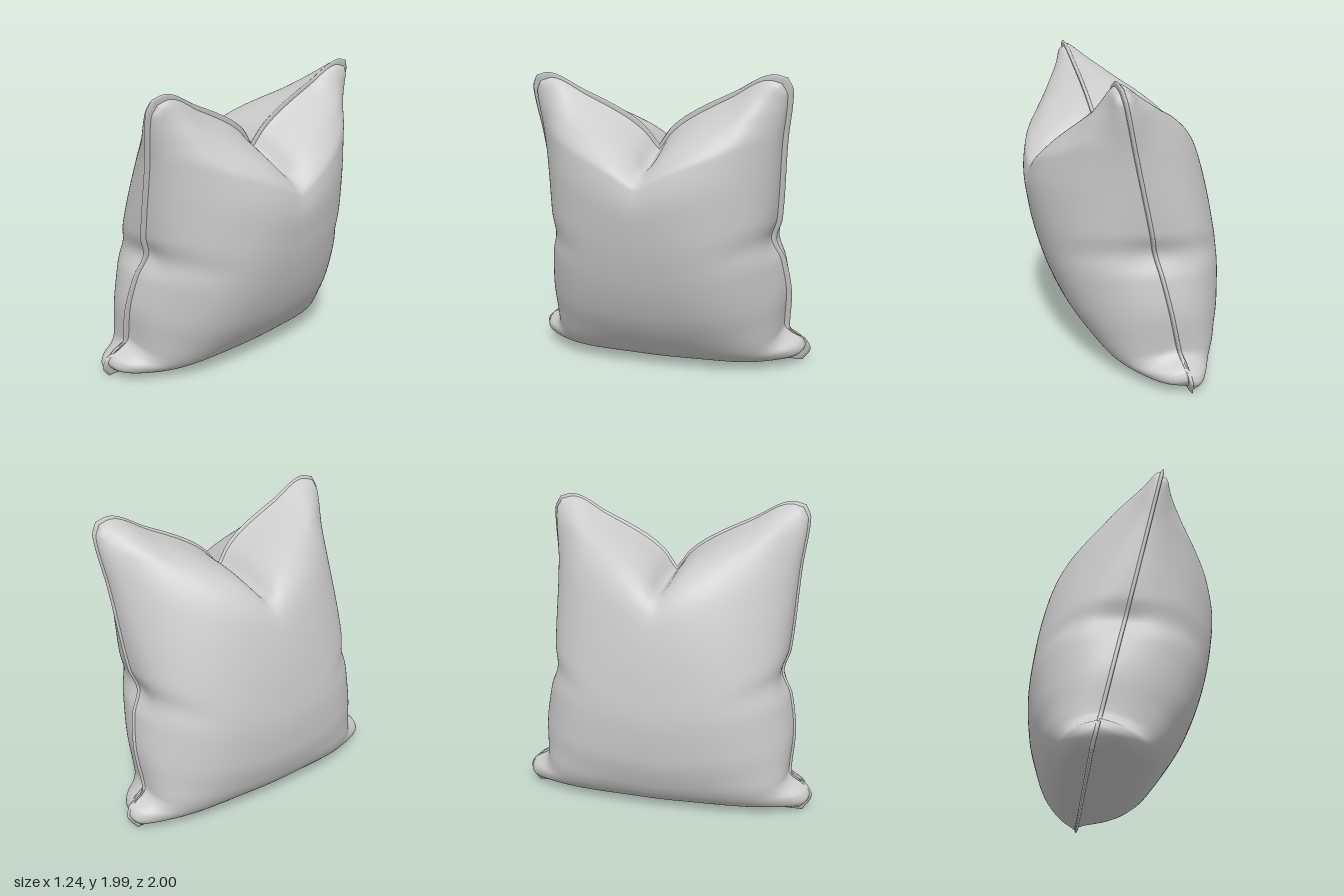
import * as THREE from 'three';

const N = 120;

// Smooth 1D lookup through [t, value] knots (cubic Hermite, limited slopes)
function lookup(knots, t) {
  const n = knots.length;
  let i = 0;
  while (i < n - 2 && t > knots[i + 1][0]) i++;
  const sec = k => (knots[k + 1][1] - knots[k][1]) / (knots[k + 1][0] - knots[k][0]);
  const slope = k => {
    if (k === 0) return sec(0);
    if (k === n - 1) return sec(n - 2);
    const a = sec(k - 1), b = sec(k);
    return a * b <= 0 ? 0 : 2 * a * b / (a + b);
  };
  const h = knots[i + 1][0] - knots[i][0], s = (t - knots[i][0]) / h;
  const s2 = s * s, s3 = s2 * s;
  return knots[i][1] * (2 * s3 - 3 * s2 + 1) + knots[i + 1][1] * (3 * s2 - 2 * s3)
    + h * (slope(i) * (s3 - 2 * s2 + s) + slope(i + 1) * (s3 - s2));
}

// Seam outline: half width by height, and top height with its middle notch
const SIDE = [[0, 0.94], [0.05, 1.0], [0.075, 0.98], [0.1, 0.89], [0.125, 0.855], [0.25, 0.87], [0.38, 0.835],
  [0.46, 0.77], [0.53, 0.81], [0.8, 0.85], [0.96, 0.885], [1, 0.85]];
const TOP = [[0, 1.53], [0.04, 1.575], [0.1, 1.64], [0.25, 1.735], [0.6, 1.88], [0.9, 1.99], [1, 1.97]];

// The two halves: middle profile as [v, x] and [v, y]; p and q are the
// roundness across the width at the bottom, middle and top
const HALVES = {
  rightHalf: {
    s: -1, inset: 0.015,
    p: [[0, 8], [0.06, 7], [0.2, 4], [0.5, 3], [0.75, 2.2], [0.92, 1.75], [1, 1.75]],
    q: [[0, 0.45], [0.15, 0.5], [0.5, 0.6], [0.92, 0.87], [1, 0.87]],
    x: [[0, -0.24], [0.03, -0.36], [0.08, -0.46], [0.15, -0.54], [0.27, -0.6], [0.42, -0.62], [0.57, -0.6],
      [0.72, -0.55], [0.82, -0.49], [0.9, -0.37], [0.96, -0.1], [1, 0.13]],
    y: [[0, 0.03], [0.03, 0.03], [0.08, 0.08], [0.15, 0.2], [0.27, 0.4], [0.42, 0.65], [0.57, 0.9],
      [0.72, 1.2], [0.82, 1.38], [0.9, 1.48], [0.96, 1.52], [1, 1.515]]
  },
  leftHalf: {
    s: 1, inset: 0.035,
    p: [[0, 8], [0.06, 7], [0.2, 4], [0.5, 2.6], [0.75, 1.9], [0.92, 1.7], [1, 1.7]],
    q: [[0, 0.45], [0.15, 0.5], [0.5, 0.65], [0.92, 0.78], [1, 0.78]],
    x: [[0, -0.24], [0.03, 0], [0.08, 0.14], [0.15, 0.26], [0.27, 0.41], [0.42, 0.52], [0.57, 0.585],
      [0.7, 0.615], [0.8, 0.6], [0.88, 0.48], [0.95, 0.29], [1, 0.13]],
    y: [[0, 0.04], [0.03, 0.03], [0.08, 0.07], [0.15, 0.18], [0.27, 0.4], [0.42, 0.68], [0.57, 0.95],
      [0.7, 1.17], [0.8, 1.29], [0.88, 1.39], [0.95, 1.46], [1, 1.5]]
  }
};

const seamX = y => -0.25 + 0.226 * y;
const bump = (t, c, w) => Math.exp(-(((t - c) / w) ** 2));

// Point of the tilted seam sheet; u runs across (z), v runs up, inset shrinks it
function seamPoint(u, v, inset) {
  const a = Math.abs(u), base = 0.85;
  // pinches and bottom ears stay near the sides
  const z = u * (base + (lookup(SIDE, v) - base) * a ** 12 - inset) - 0.015 * v;
  // the notch softens away from the top edge
  const soft = Math.min(1, Math.sqrt(a * a + 0.03 * (1 - v) * (1 - a)));
  const low = 0.005 + inset;
  const y = low + v * (lookup(TOP, soft) - inset - low);
  // the seam leans a little further over at the notch
  return new THREE.Vector3(seamX(y) + 0.04 * v ** 8 * (1 - a) ** 2, y, z);
}

// One puffed half of the cushion
function puffedHalf({ s, inset, p, q, x, y }) {
  const pos = [], index = [];
  const ease = i => Math.sin((i / N - 0.5) * Math.PI);
  for (let j = 0; j <= N; j++) {
    const v = (ease(j) + 1) / 2;
    const mid = seamPoint(0, v, inset);
    const dx = lookup(x, v) - mid.x, dy = lookup(y, v) - mid.y;
    const pv = lookup(p, v), qv = lookup(q, v);
    for (let i = 0; i <= N; i++) {
      const u = ease(i), a = Math.abs(u);
      const pt = seamPoint(u, v, inset);
      // fullness falls off to the sides, with a dent at each side pinch
      let w = Math.max(0, 1 - a ** pv) ** qv;
      w *= 1 - 0.22 * bump(v, 0.46, 0.04) * a ** 6;
      // rolled rim along the seam
      const e = Math.max(a, Math.abs(2 * v - 1));
      const rim = 0.055 * Math.sqrt(Math.max(0, 1 - e ** 50));
      // crease running out of the notch
      const crease = 0.035 * bump(u, 0, 0.08) * bump(v, 0.93, 0.045);
      pos.push(pt.x + dx * w + s * rim * (1 - w), pt.y + dy * w - crease, pt.z);
    }
  }
  for (let j = 0; j < N; j++) for (let i = 0; i < N; i++) {
    const a = j * (N + 1) + i, b = a + 1, c = a + N + 1, d = c + 1;
    if (s > 0) index.push(a, c, b, b, c, d);
    else index.push(a, b, c, b, d, c);
  }
  return buildGeometry(pos, index);
}

// Thin tapered welt that closes the seam all the way round
function weltGeometry() {
  const pos = [], index = [], M = 80, ring = 4 * M;
  const section = [[0.07, -0.013], [0.015, -0.012], [0, 0], [0.015, 0.012], [0.07, 0.013]];
  for (let k = 0; k < ring; k++) {
    const side = Math.floor(k / M), t = -1 + 2 * (k % M) / M;
    const [u, w] = [[t, -1], [1, t], [-t, 1], [-1, -t]][side];
    for (const [inset, off] of section) {
      const pt = seamPoint(u, (w + 1) / 2, inset);
      pos.push(pt.x + off, pt.y, pt.z);
    }
  }
  const m = section.length;
  for (let k = 0; k < ring; k++) for (let i = 0; i < m - 1; i++) {
    const a = k * m + i, c = ((k + 1) % ring) * m + i;
    index.push(a, a + 1, c, a + 1, c + 1, c);
  }
  return buildGeometry(pos, index);
}

function buildGeometry(pos, index) {
  const g = new THREE.BufferGeometry();
  g.setAttribute('position', new THREE.Float32BufferAttribute(pos, 3));
  g.setIndex(index);
  g.computeVertexNormals();
  return g;
}

export function createModel() {
  const group = new THREE.Group();
  group.name = 'cushion';
  const material = new THREE.MeshStandardMaterial({ color: 0xcccccc, side: THREE.DoubleSide });
  const add = (name, geometry) => {
    const mesh = new THREE.Mesh(geometry, material);
    mesh.name = name;
    group.add(mesh);
  };
  for (const name in HALVES) add(name, puffedHalf(HALVES[name]));
  add('seamWelt', weltGeometry());
  return group;
}
